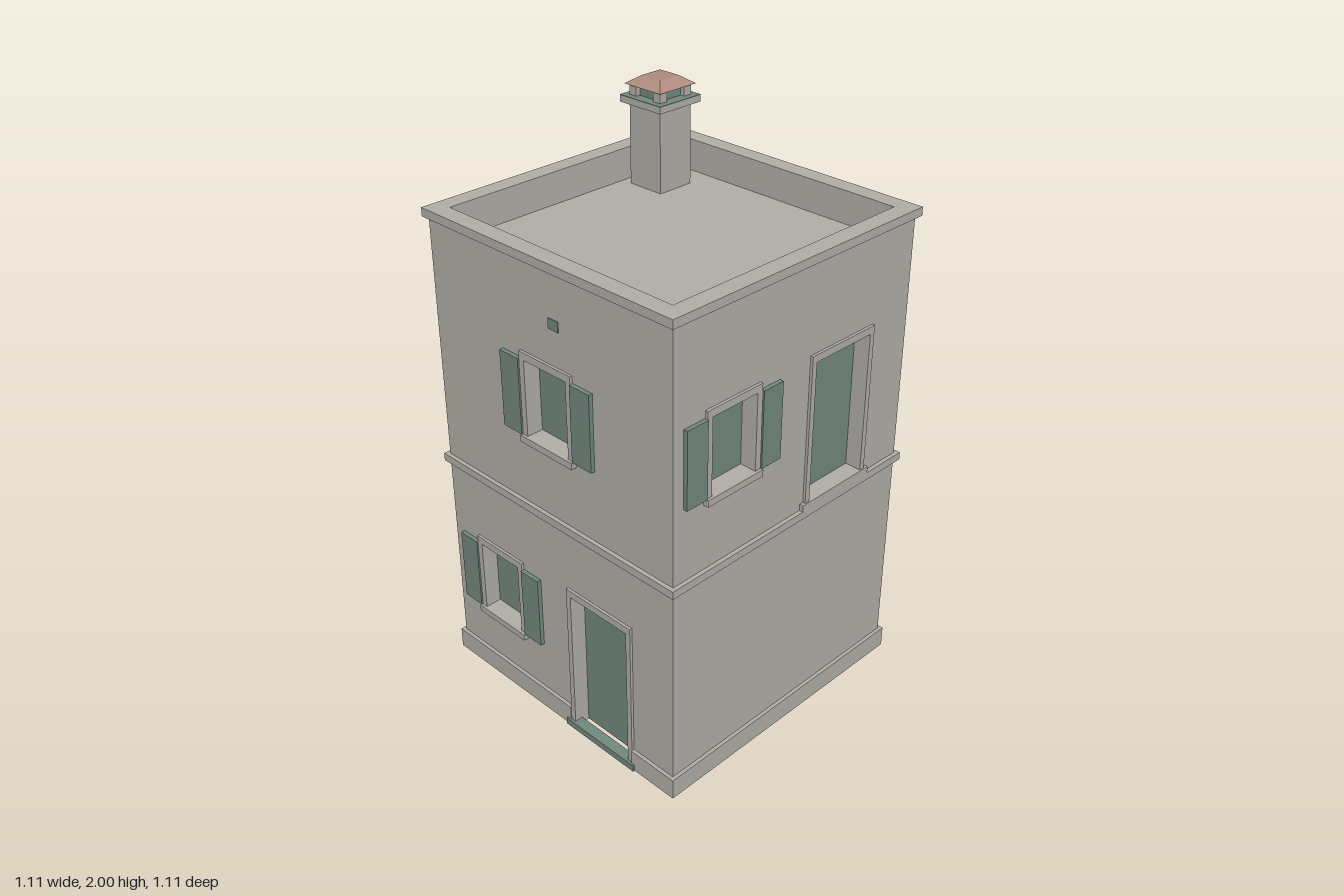
import * as THREE from 'three';

const stone = new THREE.MeshStandardMaterial({ name: 'plaster grey', color: 0xb2afa9, side: THREE.DoubleSide });
const teal = new THREE.MeshStandardMaterial({ name: 'painted teal', color: 0x73897f });
const clay = new THREE.MeshStandardMaterial({ name: 'clay tile', color: 0xae8c7e });

const HALF = 0.535;   // outer wall face
const DEEP = 0.485;   // pane depth and inner parapet face
const FACE = 0.545;   // front of the frames

function add(parent, name, geometry, material) {
  const mesh = new THREE.Mesh(geometry, material);
  mesh.name = name;
  parent.add(mesh);
  return mesh;
}

// Box given by its limits on each axis
function box(parent, name, material, x0, x1, y0, y1, z0, z1) {
  const mesh = add(parent, name, new THREE.BoxGeometry(x1 - x0, y1 - y0, z1 - z0), material);
  mesh.position.set((x0 + x1) / 2, (y0 + y1) / 2, (z0 + z1) / 2);
  return mesh;
}

function rectPoints(x0, x1, y0, y1) {
  return [[x0, y0], [x1, y0], [x1, y1], [x0, y1]].map(p => new THREE.Vector2(...p));
}

// Square ring lying flat between two heights
function ring(parent, name, outer, inner, y0, y1) {
  const shape = new THREE.Shape(rectPoints(-outer, outer, -outer, outer));
  shape.holes.push(new THREE.Path(rectPoints(-inner, inner, -inner, inner)));
  const geometry = new THREE.ExtrudeGeometry(shape, { depth: y1 - y0, bevelEnabled: false });
  geometry.rotateX(-Math.PI / 2);
  add(parent, name, geometry, stone).position.y = y0;
}

// Lintel and jambs around a recessed pane
function frame(parent, cx, hw, y0, y1, rim) {
  box(parent, 'lintel', stone, cx - hw - rim, cx + hw + rim, y1, y1 + 0.026, DEEP, FACE);
  for (const s of [-1, 1]) {
    const a = cx + s * hw, b = cx + s * (hw + rim);
    box(parent, 'jamb', stone, Math.min(a, b), Math.max(a, b), y0, y1, DEEP, FACE);
  }
  box(parent, 'pane', teal, cx - hw, cx + hw, y0, y1, DEEP - 0.008, DEEP);
}

function makeWindow(parent, cx, y0) {
  const g = new THREE.Group();
  g.name = 'window';
  parent.add(g);
  const y1 = y0 + 0.27;
  frame(g, cx, 0.095, y0, y1, 0.022);
  box(g, 'windowSill', stone, cx - 0.12, cx + 0.12, y0 - 0.024, y0, DEEP, 0.555);
  for (const s of [-1, 1]) {
    const mid = cx + s * 0.161;
    box(g, 'shutter', teal, mid - 0.043, mid + 0.043, y0, y1, HALF, 0.55);
  }
}

function makeDoor(parent, cx, y0, y1, ground) {
  const g = new THREE.Group();
  g.name = ground ? 'groundDoor' : 'balconyDoor';
  parent.add(g);
  frame(g, cx, 0.13, y0, y1, 0.02);
  if (ground) box(g, 'threshold', teal, cx - 0.165, cx + 0.165, 0, 0.025, 0.515, 0.555);
  else box(g, 'doorSill', stone, cx - 0.165, cx + 0.165, 0.835, y0, DEEP, 0.55);
}

// One side of the house, built facing +z and then turned
function makeFacade(parent, { name, angle, windows, upperDoor, lowerDoor, vent }) {
  const g = new THREE.Group();
  g.name = name;
  g.rotation.y = angle;
  parent.add(g);

  // Wall sheet with openings; a ground door notches the lower edge
  const outline = [[-HALF, 0]];
  if (lowerDoor !== undefined) {
    const a = lowerDoor - 0.13, b = lowerDoor + 0.13;
    outline.push([a, 0], [a, 0.557], [b, 0.557], [b, 0]);
  }
  outline.push([HALF, 0], [HALF, 1.71], [-HALF, 1.71]);
  const wall = new THREE.Shape(outline.map(p => new THREE.Vector2(...p)));
  for (const [cx, y] of windows)
    wall.holes.push(new THREE.Path(rectPoints(cx - 0.095, cx + 0.095, y, y + 0.27)));
  if (upperDoor !== undefined)
    wall.holes.push(new THREE.Path(rectPoints(upperDoor - 0.13, upperDoor + 0.13, 0.862, 1.367)));
  add(g, 'wall', new THREE.ShapeGeometry(wall), stone).position.z = HALF;

  for (const [cx, y] of windows) makeWindow(g, cx, y);
  if (upperDoor !== undefined) makeDoor(g, upperDoor, 0.862, 1.367, false);

  // Plinth, interrupted by the ground door
  const P = 0.548;
  if (lowerDoor !== undefined) {
    makeDoor(g, lowerDoor, 0, 0.557, true);
    box(g, 'plinth', stone, -P, lowerDoor - 0.15, 0, 0.077, HALF, P);
    box(g, 'plinth', stone, lowerDoor + 0.15, P, 0, 0.077, HALF, P);
  } else box(g, 'plinth', stone, -HALF, HALF, 0, 0.077, HALF, P);

  if (vent !== undefined)
    box(g, 'vent', teal, vent - 0.022, vent + 0.022, 1.515, 1.55, HALF - 0.002, HALF + 0.003);
}

function makeChimney(parent) {
  const g = new THREE.Group();
  g.name = 'chimney';
  g.position.set(0.322, 0, -0.376);
  parent.add(g);
  const block = (name, mat, h, y0, y1) => box(g, name, mat, -h, h, y0, y1, -h, h);
  block('chimneyShaft', stone, 0.072, 1.62, 1.91);
  block('chimneySlab', stone, 0.095, 1.91, 1.932);
  block('slabTop', teal, 0.095, 1.932, 1.935);
  block('flueCore', teal, 0.055, 1.935, 1.972);
  for (const sx of [-1, 1]) for (const sz of [-1, 1]) {
    const post = box(g, 'fluePost', stone, -0.016, 0.016, 1.935, 1.972, -0.016, 0.016);
    post.position.x = sx * 0.056;
    post.position.z = sz * 0.056;
  }
  // Truncated pyramid cap
  const cap = new THREE.CylinderGeometry(0.043 * Math.SQRT2, 0.084 * Math.SQRT2, 0.028, 4).toNonIndexed();
  cap.rotateY(Math.PI / 4);
  cap.computeVertexNormals();
  add(g, 'chimneyCap', cap, clay).position.y = 1.986;
}

export function createModel() {
  const house = new THREE.Group();
  house.name = 'house';
  const LOW = 0.268, HIGH = 1.097;

  const facades = [
    { name: 'frontFacade', angle: 0, windows: [[-0.288, HIGH]], upperDoor: 0.205 },
    { name: 'leftFacade', angle: Math.PI / 2, windows: [[0.283, LOW]], lowerDoor: -0.205, vent: 0.042 },
    { name: 'backFacade', angle: Math.PI, windows: [[0.283, HIGH], [0, LOW]], upperDoor: -0.205 },
    { name: 'rightFacade', angle: -Math.PI / 2, windows: [[-0.288, LOW], [0, HIGH]], lowerDoor: 0.205, vent: 0.042 },
  ];
  for (const f of facades) makeFacade(house, f);

  // Bands, parapet and flat roof
  ring(house, 'floorBand', 0.55, HALF, 0.81, 0.838);
  ring(house, 'cornice', 0.55, 0.487, 1.705, 1.735);
  ring(house, 'parapet', 0.53, 0.487, 1.62, 1.71);
  const roof = add(house, 'roof', new THREE.PlaneGeometry(1.06, 1.06), stone);
  roof.rotation.x = -Math.PI / 2;
  roof.position.y = 1.622;

  makeChimney(house);
  return house;
}
